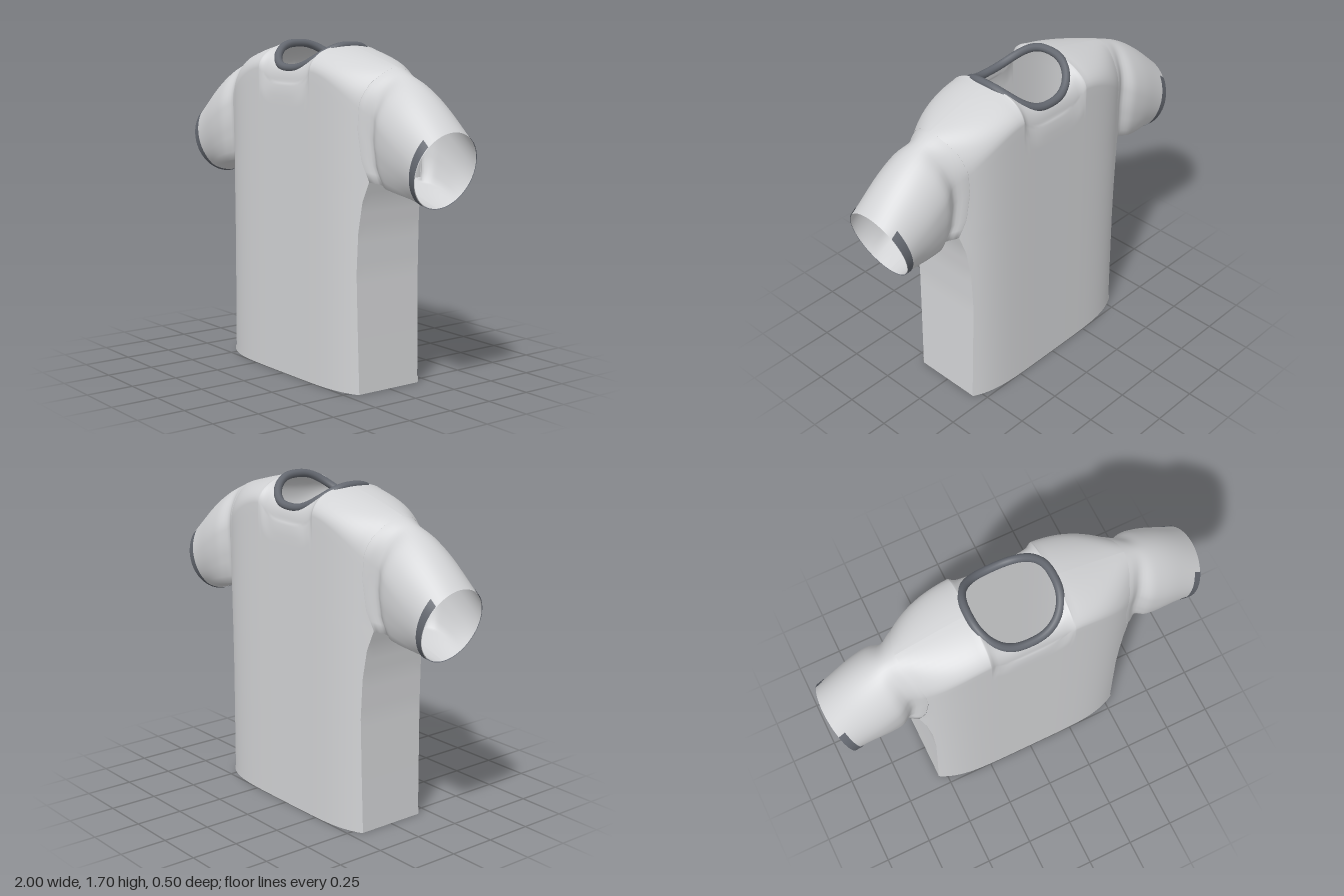
import * as THREE from 'three';

const fabric = new THREE.MeshStandardMaterial({ color: 0xd2d3d5, side: THREE.DoubleSide });
fabric.name = 'light grey fabric';
const trim = new THREE.MeshStandardMaterial({ color: 0x646870, side: THREE.DoubleSide });
trim.name = 'dark grey trim';

const lerp = THREE.MathUtils.lerp;
const smooth = THREE.MathUtils.smoothstep;
const NECK_X = 0.22, NECK_Z = 0.21, ARMPIT_V = 0.525;

// Half width of the body (and the armhole seam above the armpit) by height
const WIDTHS = [[0, 0.545], [0.3, 0.537], [0.6, 0.53], [0.8, 0.537], [0.95, 0.555], [1.05, 0.582],
  [1.15, 0.55], [1.3, 0.532], [1.42, 0.537], [1.52, 0.56], [1.6, 0.6]];
function halfWidth(y) {
  for (let i = 1; i < WIDTHS.length; i++) {
    const [y0, w0] = WIDTHS[i - 1], [y1, w1] = WIDTHS[i];
    if (y <= y1) return lerp(w0, w1, (y - y0) / (y1 - y0));
  }
  return 0.6;
}

// Neckline: squarish loop in plan, high at the shoulders, low at front and back
const neckY = r => 1.57 + 0.115 * Math.pow(r, 2.5);
const neckZ = r => NECK_Z * Math.pow(Math.max(0, 1 - Math.pow(r, 2.5)), 0.4);

// Front panel: |p| <= 1 lies below the neck, |p| from 1 to 2 runs to the side seam;
// v runs from the hem up and over to the neckline or shoulder seam
function panel(p, v) {
  const a = Math.abs(p), neck = a <= 1;
  const r = Math.min(1, Math.sin(Math.min(a, 1) * Math.PI / 2)), k = Math.max(0, a - 1);
  const corner = neck ? 1.48 + 0.08 * r ** 4 : 1.56 - 0.16 * Math.pow(k, 1.5);
  const topY = neck ? neckY(r) : 1.685 - 0.095 * Math.pow(k, 1.15);
  const topZ = neck ? neckZ(r) : 0;
  const phi = Math.max(0, (v - 0.7) / 0.3) * Math.PI / 2;
  const y = v < 0.7 ? corner * v / 0.7 : corner + (topY - corner) * Math.sin(phi);
  const x = neck ? NECK_X * r : lerp(NECK_X, halfWidth(y), k);
  const full = 0.248 * (1 - 0.24 * Math.pow(x / 0.54, 5));
  let z = topZ + (full - topZ) * (v >= 1 ? 0 : Math.cos(phi));
  if (neck) z -= 0.012 * smooth(y, 1.47, 1.5) * (1 - smooth(r, 0.85, 1)) * Math.cos(phi);
  return new THREE.Vector3(Math.sign(p) * x, y, z);
}

// Sleeve: q runs from the top (0) round the front to the underside (1), t from armhole to cuff
function sleeve(q, t) {
  const a = Math.abs(q), split = 19 / 24, ang = a * Math.PI;
  const start = panel(2, a < split ? lerp(1, ARMPIT_V, a / split) : ARMPIT_V);
  if (a > split) start.z *= (1 - a) / (1 - split);
  const end = new THREE.Vector3(0.945 + 0.055 * Math.cos(ang), 1.13 + 0.183 * Math.cos(ang), 0.182 * Math.sin(ang));
  const pt = start.lerp(end, t);
  pt.y += 0.036 * Math.sin(Math.PI * t) * Math.max(0, Math.cos(ang));
  pt.z *= 1 - 0.18 * Math.exp(-(((t - 0.17) / 0.1) ** 2));
  pt.z *= 1 + 0.05 * Math.exp(-(((t - 0.55) / 0.25) ** 2));
  if (q < 0) pt.z *= -1;
  return pt;
}

// Cuff strip lies just outside the end of the sleeve
function cuff(q, t) {
  const pt = sleeve(q, t), a = Math.abs(q) * Math.PI;
  pt.y += 0.004 * Math.cos(a);
  pt.z += 0.004 * Math.sin(a) * Math.sign(q);
  return pt;
}

// Surface grid from a point rule, optionally mirrored in x or z
function sheet(name, fn, [u0, u1, nu], [v0, v1, nv], material, sx = 1, sz = 1) {
  const pos = [], index = [];
  for (let j = 0; j <= nv; j++) {
    for (let i = 0; i <= nu; i++) {
      const p = fn(lerp(u0, u1, i / nu), lerp(v0, v1, j / nv));
      pos.push(p.x * sx, p.y, p.z * sz);
    }
  }
  for (let j = 0; j < nv; j++) {
    for (let i = 0; i < nu; i++) {
      const a = j * (nu + 1) + i, b = a + 1, c = a + nu + 1, d = c + 1;
      if (sx * sz > 0) index.push(a, b, d, a, d, c);
      else index.push(a, d, b, a, c, d);
    }
  }
  const g = new THREE.BufferGeometry();
  g.setAttribute('position', new THREE.Float32BufferAttribute(pos, 3));
  g.setIndex(index);
  g.computeVertexNormals();
  const mesh = new THREE.Mesh(g, material);
  mesh.name = name;
  return mesh;
}

export function createModel() {
  const shirt = new THREE.Group();
  shirt.name = 'shortSleevedShirt';

  // Front and back panels with a folded hem
  const hem = (p, v) => {
    const pt = panel(p, 0);
    return pt.set(pt.x * 1.003, v * 0.03, pt.z + 0.003);
  };
  for (const [side, sz] of [['front', 1], ['back', -1]]) {
    shirt.add(sheet(side + 'Panel', panel, [-2, 2, 48], [0, 1, 40], fabric, 1, sz));
    shirt.add(sheet(side + 'Hem', hem, [-2, 2, 48], [0, 1, 1], fabric, 1, sz));
  }

  // Side panels, sleeves and dark cuffs
  const flank = (u, v) => {
    const pt = panel(2, v);
    pt.z *= u;
    return pt;
  };
  for (const [side, sx] of [['left', 1], ['right', -1]]) {
    shirt.add(sheet(side + 'SidePanel', flank, [1, -1, 8], [0, ARMPIT_V, 21], fabric, sx));
    shirt.add(sheet(side + 'Sleeve', sleeve, [-1, 1, 48], [0, 1, 24], fabric, sx));
    shirt.add(sheet(side + 'CuffFront', cuff, [0.27, 1, 20], [0.915, 1, 2], trim, sx));
    shirt.add(sheet(side + 'CuffBack', cuff, [-1, -0.27, 20], [0.915, 1, 2], trim, sx));
  }

  // Ribbed collar following the neckline
  const loop = [];
  for (let i = 0; i < 48; i++) {
    const a = i / 48 * Math.PI * 2, c = Math.cos(a), s = Math.sin(a);
    const r = Math.pow(Math.abs(c), 0.8);
    loop.push(new THREE.Vector3(Math.sign(c) * r * NECK_X, neckY(r) - 0.003,
      Math.sign(s) * NECK_Z * Math.pow(Math.abs(s), 0.8)));
  }
  const path = new THREE.CatmullRomCurve3(loop, true);
  const collar = new THREE.Mesh(new THREE.TubeGeometry(path, 96, 0.021, 10, true), trim);
  collar.name = 'collar';
  shirt.add(collar);

  return shirt;
}
